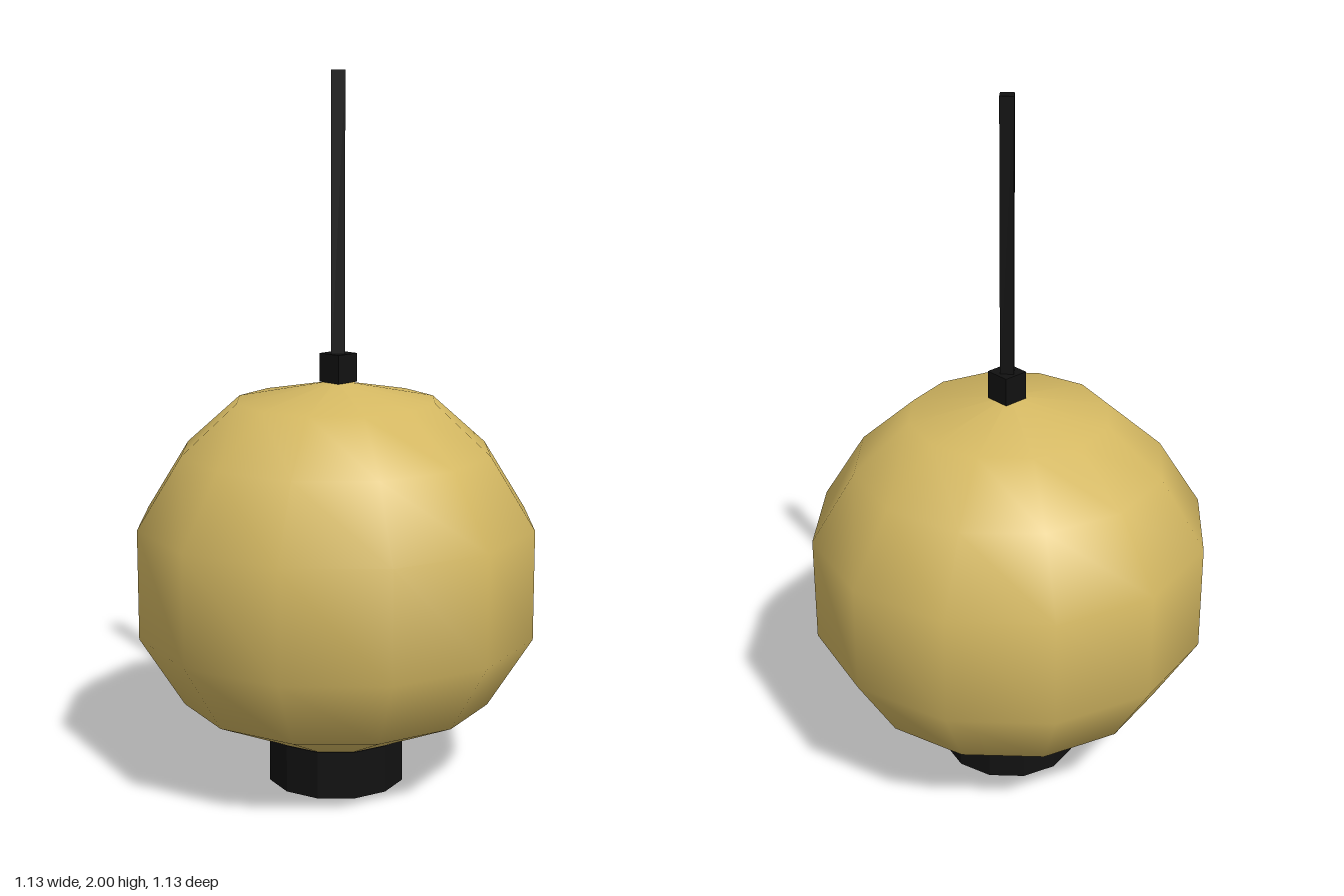
import * as THREE from 'three';

export function createModel() {
  const group = new THREE.Group();
  const gold = new THREE.MeshStandardMaterial({ color: 0xd4b862, side: THREE.DoubleSide });
  const black = new THREE.MeshStandardMaterial({ color: 0x111111, flatShading: true });

  const add = (name, geometry, material, x, y) => {
    const mesh = new THREE.Mesh(geometry, material);
    mesh.name = name;
    mesh.position.set(x, y, 0);
    group.add(mesh);
  };

  // Twelve-sided globe shade, smooth shaded, profile from base to crown
  const profile = [
    [0.19, 0.135], [0.44, 0.25], [0.565, 0.45], [0.565, 0.76],
    [0.44, 0.96], [0.283, 1.1], [0, 1.155],
  ].map(([r, y]) => new THREE.Vector2(r, y));
  add('globeShade', new THREE.LatheGeometry(profile, 12), gold, 0, 0);

  // Round base ring under the shade
  add('base', new THREE.CylinderGeometry(0.196, 0.196, 0.136, 12), black, 0, 0.068);

  // Square collar on the crown and the slim four-sided hanging rod
  add('collar', new THREE.BoxGeometry(0.074, 0.08, 0.074), black, 0.009, 1.19);
  add('hangingRod', new THREE.CylinderGeometry(0.027, 0.027, 0.8, 4), black, 0.008, 1.6);

  return group;
}
